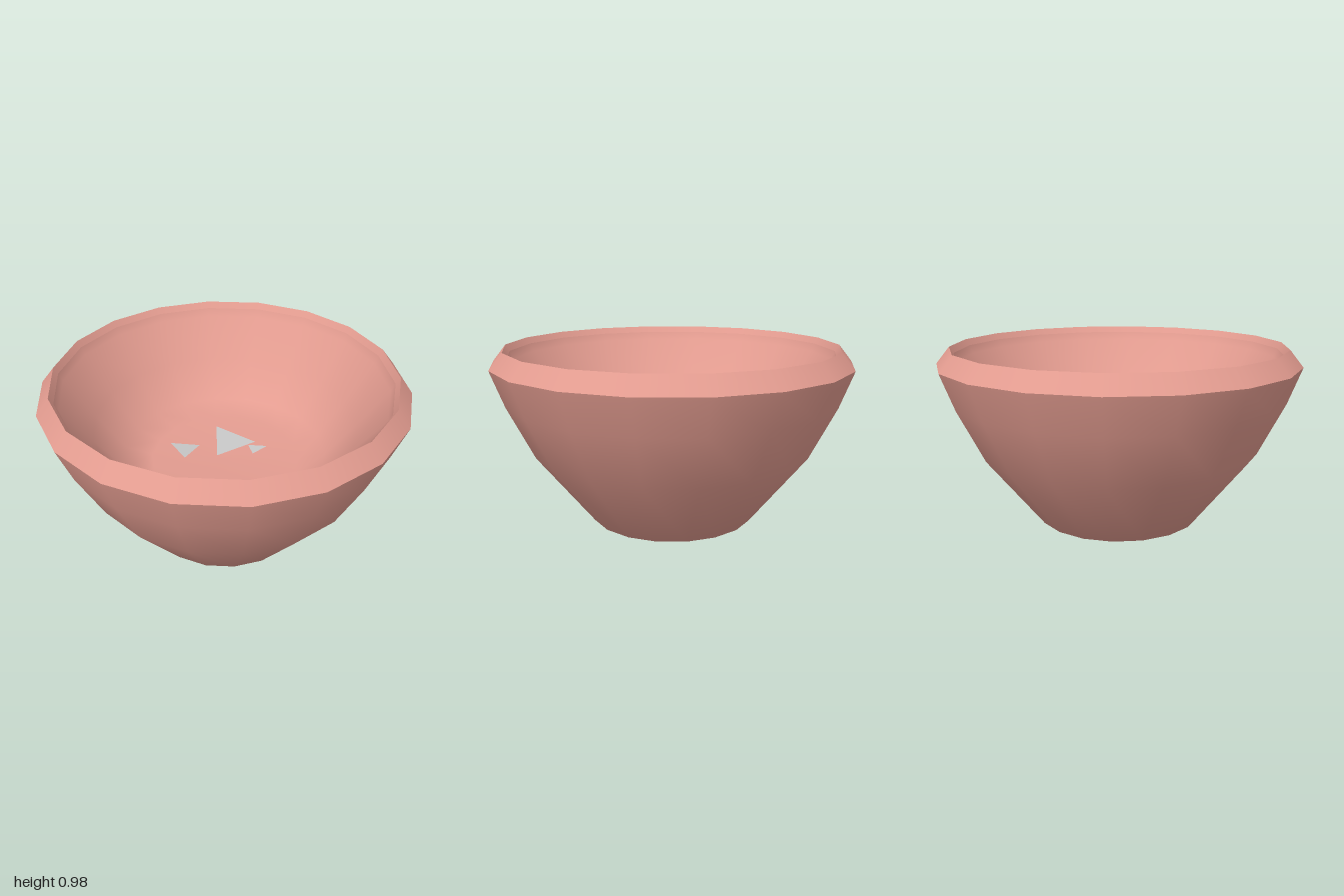
import * as THREE from 'three';

const clay = new THREE.MeshStandardMaterial({ color: 0xe39c90 });
clay.name = 'pink clay';
const stone = new THREE.MeshStandardMaterial({ color: 0xcacaca, side: THREE.DoubleSide });
stone.name = 'grey shard';

// Eighteen-sided surface of revolution from [radius, height] pairs
function ring(name, profile) {
  const points = profile.map(([r, y]) => new THREE.Vector2(r, y));
  const mesh = new THREE.Mesh(new THREE.LatheGeometry(points, 18, Math.PI / 2), clay);
  mesh.name = name;
  return mesh;
}

// Thin triangular flake, corners counter-clockwise from above
function shard(a, b, c) {
  const geometry = new THREE.BufferGeometry();
  geometry.setAttribute('position', new THREE.Float32BufferAttribute([a, b, c].flat(), 3));
  geometry.computeVertexNormals();
  const mesh = new THREE.Mesh(geometry, stone);
  mesh.name = 'shard';
  return mesh;
}

export function createModel() {
  const model = new THREE.Group();
  model.name = 'bowl';

  // Bowl shell with a raised floor and creases only along the rim
  model.add(
    ring('outerWall', [[0, 0], [0.463, 0], [0.78, 0.4], [0.925, 0.69], [0.994, 0.873], [1, 0.89]]),
    ring('rim', [[1, 0.89], [0.928, 0.98]]),
    ring('innerLip', [[0.928, 0.98], [0.905, 0.945]]),
    ring('innerWall', [[0.905, 0.945], [0.885, 0.9], [0.73, 0.68], [0.57, 0.47], [0.42, 0.425], [0, 0.42]])
  );

  // Shards lying on the floor
  const shards = new THREE.Group();
  shards.name = 'shards';
  shards.add(
    shard([-0.07, 0.434, -0.3], [-0.045, 0.434, 0], [0.17, 0.434, -0.15]),
    shard([0.05, 0.44, 0.25], [0.19, 0.49, 0.48], [0.36, 0.445, 0.25]),
    shard([-0.31, 0.51, 0], [-0.22, 0.49, 0.11], [-0.15, 0.47, -0.045]),
    shard([-0.16, 0.434, 0.25], [-0.21, 0.434, 0.345], [-0.13, 0.434, 0.36]),
    shard([0.13, 0.434, -0.115], [0.16, 0.434, -0.03], [0.24, 0.434, -0.11])
  );
  model.add(shards);
  return model;
}
